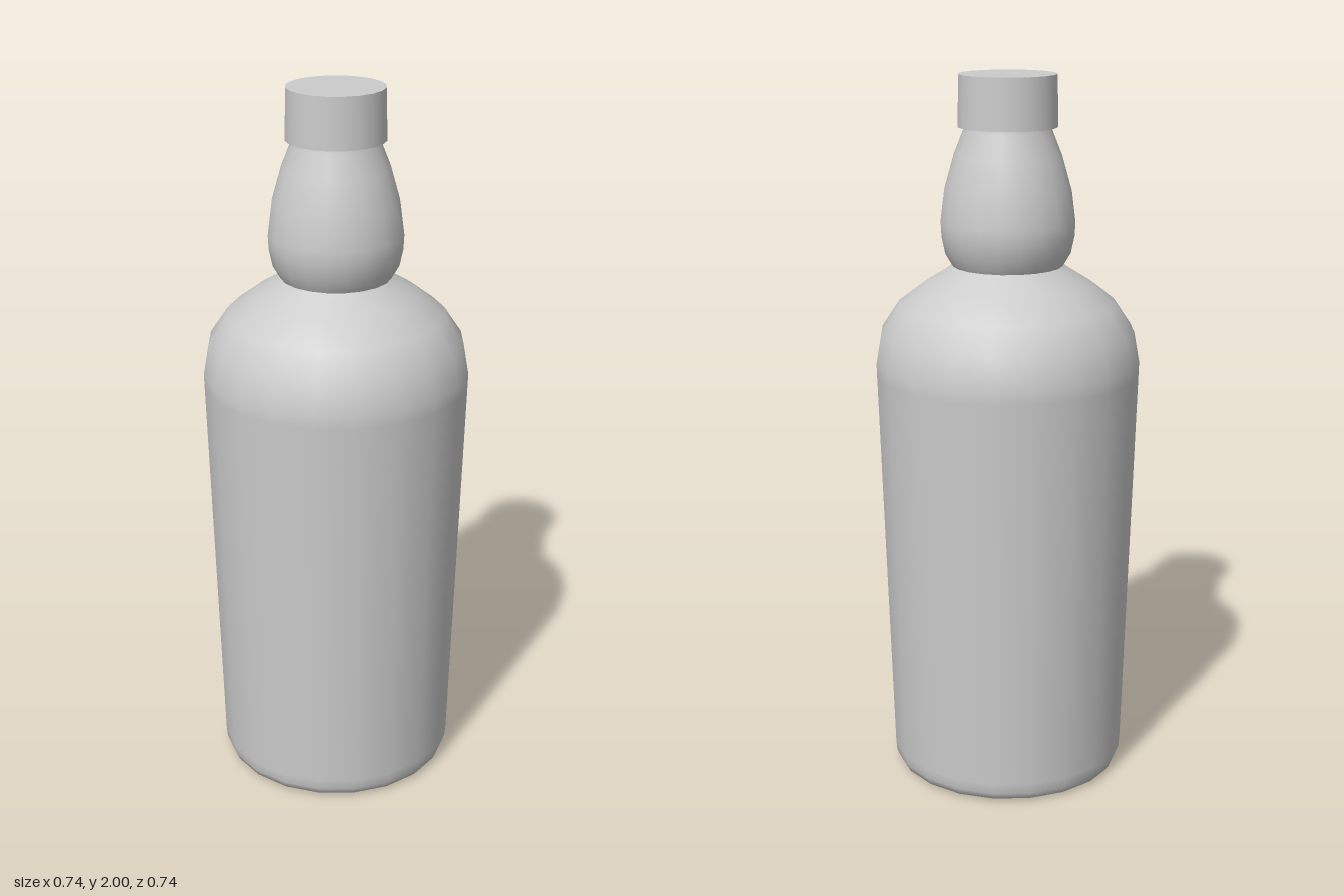
import * as THREE from 'three';

const SIDES = 20;

export function createModel() {
  const group = new THREE.Group();
  const material = new THREE.MeshStandardMaterial({ color: 0xcccccc });

  const add = (name, geometry, y = 0) => {
    const mesh = new THREE.Mesh(geometry, material);
    mesh.name = name;
    mesh.position.y = y;
    group.add(mesh);
    return mesh;
  };
  const lathe = (points) =>
    new THREE.LatheGeometry(points.map(([r, y]) => new THREE.Vector2(r, y)), SIDES);

  // Tapered body with a rounded foot and shoulder
  add('body', lathe([
    [0.305, 0], [0.325, 0.01], [0.334, 0.03], [0.337, 0.06],
    [0.369, 1.18], [0.37, 1.215], [0.355, 1.3], [0.305, 1.375],
    [0.23, 1.432], [0.175, 1.466], [0.153, 1.482],
  ]));

  // Flat underside
  add('base', new THREE.CircleGeometry(0.305, SIDES).rotateX(Math.PI / 2));

  // Bulbous neck
  add('neck', lathe([
    [0.153, 1.482], [0.174, 1.518], [0.184, 1.565], [0.186, 1.605],
    [0.175, 1.69], [0.148, 1.785], [0.122, 1.85], [0.12, 1.87],
  ]));

  // Cap, overhanging the neck
  add('cap', new THREE.CylinderGeometry(0.134, 0.137, 0.14, SIDES), 1.93);

  return group;
}
